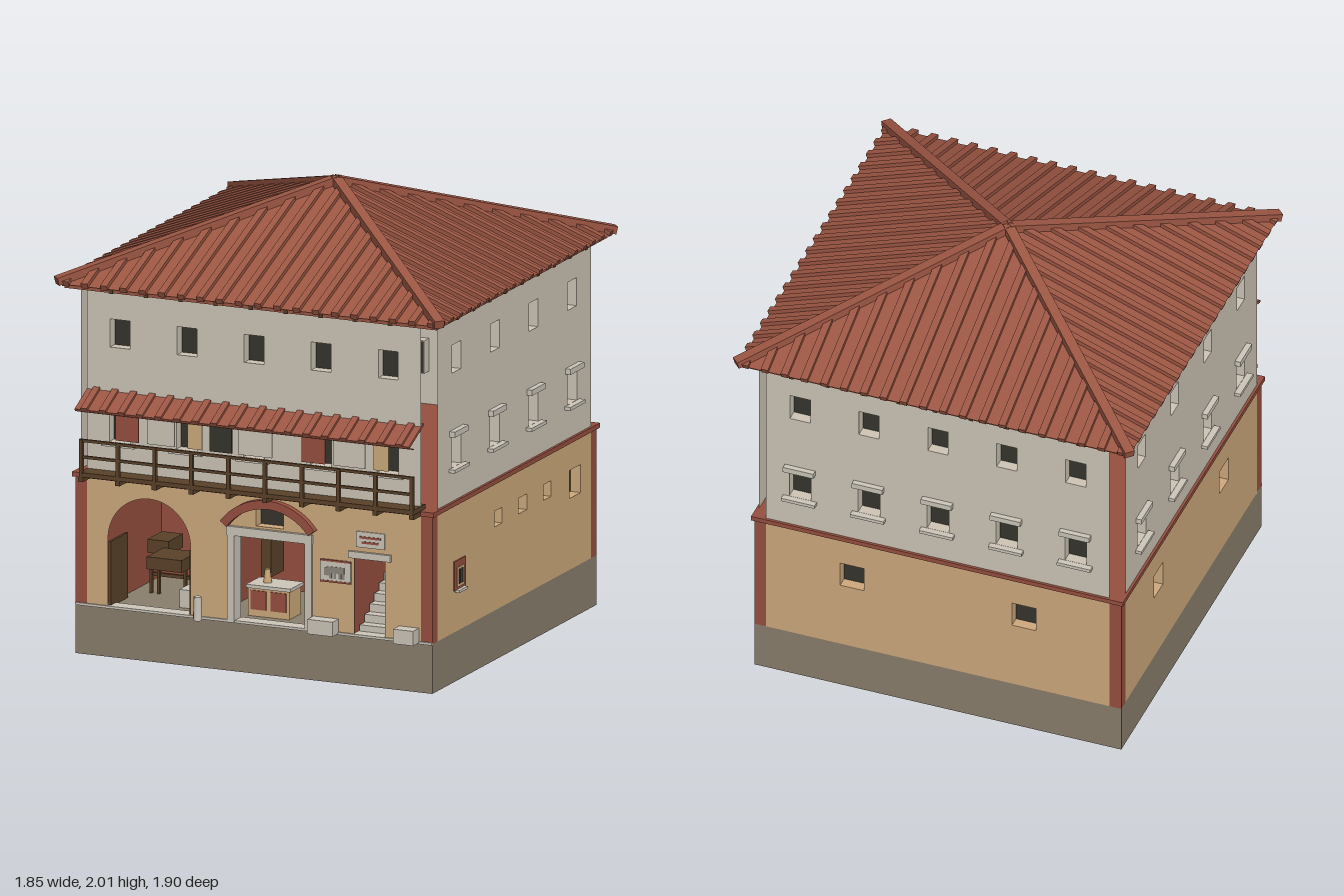
import * as THREE from 'three';

const mat = (name, color, side = THREE.FrontSide) => {
  const m = new THREE.MeshStandardMaterial({ color, side });
  m.name = name;
  return m;
};
const M = {
  stone: mat('base stone', 0x8a7f6d),
  plaster: mat('upper plaster', 0xcfc6b7, THREE.DoubleSide),
  ochre: mat('ochre plaster', 0xcfaa7d, THREE.DoubleSide),
  red: mat('red paint', 0x97503f, THREE.DoubleSide),
  tile: mat('roof tile', 0x9c5643),
  dark: mat('dark opening', 0x36342d, THREE.DoubleSide),
  wood: mat('dark wood', 0x5a4229),
  pale: mat('pale stone', 0xcdc7bb),
  grey: mat('grey paint', 0x8d877c),
};
const H = 0.843;       // half width of the building
const IN = 0.79;       // half width of each wall panel
const Y0 = 0.22, Y1 = 0.79, Y2 = 1.63;

function add(parent, name, geo, m, x = 0, y = 0, z = 0) {
  const mesh = new THREE.Mesh(geo, m);
  mesh.name = name;
  mesh.position.set(x, y, z);
  parent.add(mesh);
  return mesh;
}
// box from its limits
function box(parent, name, m, x0, x1, y0, y1, z0, z1) {
  return add(parent, name, new THREE.BoxGeometry(x1 - x0, y1 - y0, z1 - z0), m,
    (x0 + x1) / 2, (y0 + y1) / 2, (z0 + z1) / 2);
}
function group(parent, name, ry = 0) {
  const g = new THREE.Group();
  g.name = name;
  g.rotation.y = ry;
  parent.add(g);
  return g;
}
function rect(S, x0, x1, y0, y1) {
  const s = new S();
  s.moveTo(x0, y0); s.lineTo(x1, y0); s.lineTo(x1, y1); s.lineTo(x0, y1); s.closePath();
  return s;
}
// flat wall with window holes, each with a reveal and a dark back
function wall(parent, name, m, y0, y1, windows, openings = []) {
  const s = rect(THREE.Shape, -IN, IN, y0, y1);
  s.holes.push(...openings);
  for (const [x, y, w, h] of windows) {
    const l = x - w / 2, r = x + w / 2, b = y - h / 2, t = y + h / 2;
    s.holes.push(rect(THREE.Path, l, r, b, t));
    const e = 0.003, ring = rect(THREE.Shape, l - e, r + e, b - e, t + e);
    ring.holes.push(rect(THREE.Path, l, r, b, t));
    add(parent, 'windowReveal', new THREE.ExtrudeGeometry(ring, { depth: 0.05, bevelEnabled: false }), m, 0, 0, H - 0.051);
    add(parent, 'windowDark', new THREE.PlaneGeometry(w, h), M.dark, x, y, H - 0.05);
  }
  add(parent, name, new THREE.ShapeGeometry(s, 24), m, 0, 0, H);
}

function upperFace(parent, xs) {
  const wins = [];
  for (const x of xs) {
    wins.push([x, 1.437, 0.094, 0.125], [x, 1.025, 0.1, 0.14]);
    box(parent, 'windowHood', M.pale, x - 0.07, x + 0.07, 1.097, 1.122, H, H + 0.025);
    box(parent, 'windowSill', M.pale, x - 0.077, x + 0.077, 0.94, 0.955, H, H + 0.028);
  }
  wall(parent, 'upperWall', M.plaster, Y1, Y2, wins);
}

function roof(parent) {
  const R = 0.9, rise = 0.335, eave = 1.645, a = Math.atan2(rise, R);
  const cone = new THREE.ConeGeometry(R * Math.SQRT2, rise, 4, 1).rotateY(Math.PI / 4).toNonIndexed();
  cone.computeVertexNormals();
  add(parent, 'roofPyramid', cone, M.tile, 0, eave + rise / 2, 0);
  box(parent, 'eaveBoard', M.tile, -0.88, 0.88, 1.625, 1.647, -0.88, 0.88);
  for (let k = 0; k < 4; k++) {
    const g = group(parent, 'roofSide', k * Math.PI / 2);
    for (let i = 0; i < 20; i++) {
      const x = (i - 9.5) * 0.091, run = 0.905 - Math.abs(x);
      const rib = add(g, 'tileRib', new THREE.BoxGeometry(0.032, 0.024, run / Math.cos(a)), M.tile,
        x, eave + 0.006 + (R - 0.905 + run / 2) * rise / R, 0.905 - run / 2);
      rib.rotation.x = a;
    }
    for (let i = -4; i <= 4; i++) box(g, 'rafterEnd', M.wood, i * 0.165 - 0.01, i * 0.165 + 0.01, 1.622, 1.64, 0.84, 0.883);
    // hip ridge on the diagonal
    const hip = group(g, 'hip', Math.PI / 4), d = 0.905 * Math.SQRT2, b = Math.atan2(rise, R * Math.SQRT2);
    const ridge = add(hip, 'hipRidge', new THREE.BoxGeometry(0.045, 0.035, d / Math.cos(b)), M.tile, 0, eave + 0.014 + rise / 2, d / 2);
    ridge.rotation.x = b;
  }
}

function balcony(parent) {
  box(parent, 'deck', M.wood, -IN, IN, 0.806, 0.826, 0.8, 0.925);
  for (const y of [0.895, 0.968]) box(parent, 'rail', M.wood, -IN, IN, y - 0.006, y + 0.006, 0.912, 0.924);
  for (let i = 0; i < 10; i++) {
    const x = -0.782 + i * 0.1738;
    box(parent, 'railPost', M.wood, x - 0.008, x + 0.008, 0.82, 0.972, 0.91, 0.926);
    box(parent, 'deckBeam', M.wood, x - 0.011, x + 0.011, 0.785, 0.806, 0.8, 0.926);
  }
  // laundry on a line
  box(parent, 'laundryLine', M.wood, -IN, IN, 1.094, 1.098, 0.915, 0.919);
  const cloths = [[-0.62, -0.51, M.red], [-0.47, -0.34, M.plaster], [-0.28, -0.21, M.ochre], [-0.175, -0.07, M.dark],
    [-0.04, 0.12, M.plaster], [0.26, 0.37, M.red], [0.41, 0.56, M.plaster], [0.6, 0.67, M.ochre]];
  for (const [a, b, m] of cloths) box(parent, 'cloth', m, a, b, 0.985, 1.094, 0.914, 0.92);
  // tiled canopy
  const c = group(parent, 'canopy');
  c.position.set(0, 1.15, 0.893);
  c.rotation.x = 0.44;
  box(c, 'canopyBoard', M.tile, -IN, IN, -0.007, 0.005, -0.084, 0.084);
  for (let i = 0; i < 18; i++) {
    const x = (i - 8.5) * 0.0875;
    box(c, 'canopyRib', M.tile, x - 0.015, x + 0.015, 0, 0.016, -0.084, 0.087);
  }
}

function shopFront(parent) {
  // wall with an arch, a shop door and a stair door
  const arch = new THREE.Path();
  arch.moveTo(-0.69, Y0); arch.lineTo(-0.3, Y0); arch.lineTo(-0.3, 0.525);
  arch.absarc(-0.495, 0.525, 0.195, 0, Math.PI, false);
  arch.closePath();
  wall(parent, 'shopWall', M.ochre, Y0, Y1, [[0.075, 0.695, 0.13, 0.08]],
    [arch, rect(THREE.Path, -0.09, 0.245, Y0, 0.605), rect(THREE.Path, 0.475, 0.62, Y0, 0.565)]);
  // rooms behind
  box(parent, 'backWall', M.red, -IN, 0.7, Y0, Y1, 0.23, 0.25);
  for (const x of [-0.72, -0.22, 0.35, 0.46, 0.635]) box(parent, 'partition', M.red, x - 0.01, x + 0.01, Y0, Y1, 0.25, H - 0.005);
  box(parent, 'threshold', M.pale, -H, H, Y0 - 0.004, Y0 + 0.007, 0.78, 0.85);
  // arched room: door leaves, table, shelf, step
  for (const x of [-0.687, -0.303]) box(parent, 'doorLeaf', M.wood, x - 0.006, x + 0.006, Y0, 0.51, 0.66, H - 0.01);
  box(parent, 'tableTop', M.wood, -0.61, -0.445, 0.345, 0.4, 0.45, 0.62);
  box(parent, 'tableRail', M.wood, -0.63, -0.43, 0.295, 0.31, 0.52, 0.535);
  for (const x of [-0.625, -0.59, -0.465, -0.43]) box(parent, 'tableLeg', M.wood, x - 0.006, x + 0.006, Y0, 0.375, 0.53, 0.545);
  box(parent, 'shelf', M.wood, -0.685, -0.585, 0.37, 0.43, 0.3, 0.45);
  box(parent, 'innerStep', M.pale, -0.41, -0.315, Y0, 0.3, 0.6, 0.72);
  // shop door frame, arched moulding
  for (const x of [-0.105, 0.26]) box(parent, 'doorJamb', M.pale, x - 0.017, x + 0.017, Y0, 0.605, H - 0.06, H + 0.012);
  box(parent, 'doorLintel', M.pale, -0.125, 0.28, 0.605, 0.645, H - 0.06, H + 0.016);
  const band = new THREE.Shape(), a = 0.64;
  band.absarc(0, 0, 0.278, a, Math.PI - a, false);
  band.absarc(0, 0, 0.24, Math.PI - a, a, true);
  add(parent, 'archMoulding', new THREE.ExtrudeGeometry(band, { depth: 0.03, bevelEnabled: false, curveSegments: 12 }), M.red, 0.075, 0.502, H);
  // counter, rack, poster, hanging jars
  box(parent, 'counter', M.ochre, -0.085, 0.11, Y0, 0.345, 0.6, 0.72);
  box(parent, 'counterTop', M.pale, -0.09, 0.12, 0.345, 0.36, 0.59, 0.73);
  for (const x of [-0.035, 0.06]) box(parent, 'counterPanel', M.red, x - 0.037, x + 0.037, 0.25, 0.335, 0.72, 0.724);
  box(parent, 'rack', M.wood, -0.088, -0.04, 0.36, 0.57, 0.45, 0.58);
  add(parent, 'jug', new THREE.CylinderGeometry(0.012, 0.02, 0.06, 8), M.ochre, -0.02, 0.39, 0.66);
  box(parent, 'poster', M.ochre, 0.075, 0.15, 0.42, 0.505, 0.25, 0.256);
  for (const x of [0.1, 0.125]) box(parent, 'posterBar', M.dark, x - 0.006, x + 0.006, 0.43, 0.495, 0.256, 0.259);
  for (let i = 0; i < 6; i++) add(parent, 'jar', new THREE.CylinderGeometry(0.02, 0.03, 0.052, 8), M.red, 0.21, 0.255 + i * 0.062, 0.6);
  // painted animal panel
  box(parent, 'panel', M.pale, 0.315, 0.46, 0.445, 0.545, H, H + 0.006);
  for (const y of [0.449, 0.541]) box(parent, 'panelStripe', M.red, 0.315, 0.46, y - 0.004, y + 0.004, H, H + 0.008);
  const paint = (x0, x1, y0, y1) => box(parent, 'paintedAnimal', M.grey, x0, x1, y0, y1, H, H + 0.008);
  paint(0.35, 0.43, 0.485, 0.515);
  paint(0.335, 0.358, 0.475, 0.51);
  for (const x of [0.365, 0.385, 0.41, 0.425]) paint(x - 0.006, x + 0.006, 0.463, 0.488);
  // stair door
  box(parent, 'stairLintel', M.pale, 0.45, 0.65, 0.565, 0.595, H - 0.03, H + 0.014);
  for (let i = 0; i < 6; i++) box(parent, 'stair', M.pale, 0.475, 0.62, Y0, Y0 + 0.035 * (i + 1), 0.79 - 0.05 * (i + 1), 0.79 - 0.05 * i);
  box(parent, 'notice', M.pale, 0.485, 0.62, 0.615, 0.685, H, H + 0.006);
  for (const [y, w] of [[0.66, 0.05], [0.638, 0.04]]) box(parent, 'noticeStripe', M.red, 0.552 - w, 0.552 + w, y - 0.005, y + 0.005, H, H + 0.009);
  // street furniture
  box(parent, 'bench', M.pale, 0.28, 0.4, Y0, 0.285, H, 0.905);
  box(parent, 'bench', M.pale, 0.685, 0.78, Y0, 0.285, H, 0.905);
  add(parent, 'bollard', new THREE.CylinderGeometry(0.017, 0.02, 0.105, 10), M.pale, -0.245, 0.273, 0.89);
}

export function createModel() {
  const root = new THREE.Group();
  root.name = 'house';
  const house = group(root, 'building');
  house.position.z = -0.025;

  box(house, 'base', M.stone, -H, H, 0, Y0, -H, H);
  box(house, 'stringCourse', M.red, -0.855, 0.855, 0.785, 0.806, -0.855, 0.855);
  for (const sx of [-1, 1]) for (const sz of [-1, 1])
    add(house, 'cornerPost', new THREE.BoxGeometry(0.053, Y1 - Y0, 0.053), M.red, sx * 0.8165, (Y0 + Y1) / 2, sz * 0.8165);

  const five = [-0.634, -0.317, 0, 0.317, 0.634], four = [-0.595, -0.198, 0.198, 0.595];
  const front = group(house, 'frontSide'), left = group(house, 'leftSide', Math.PI / 2);
  const back = group(house, 'backSide', Math.PI), right = group(house, 'rightSide', -Math.PI / 2);
  upperFace(front, five);
  upperFace(back, five);
  upperFace(left, four);
  upperFace(right, four);

  shopFront(front);
  balcony(front);
  for (const g of [back, right]) wall(g, 'lowerWall', M.ochre, Y0, Y1, [[-0.395, 0.595, 0.11, 0.12], [0.395, 0.595, 0.11, 0.12]]);
  wall(left, 'lowerWall', M.ochre, Y0, Y1, [[-0.163, 0.625, 0.08, 0.07], [0.088, 0.625, 0.085, 0.07],
    [0.34, 0.625, 0.08, 0.07], [0.627, 0.598, 0.115, 0.125]]);
  // small framed window
  box(left, 'smallFrame', M.red, -0.626, -0.51, 0.405, 0.535, H, H + 0.006);
  box(left, 'smallWindow', M.ochre, -0.602, -0.534, 0.417, 0.505, H, H + 0.009);
  for (const x of [-0.582, -0.556]) box(left, 'windowBar', M.dark, x - 0.007, x + 0.007, 0.43, 0.495, H + 0.003, H + 0.012);
  box(left, 'smallSill', M.pale, -0.61, -0.526, 0.395, 0.407, H, H + 0.022);

  roof(group(house, 'roof'));
  return root;
}
